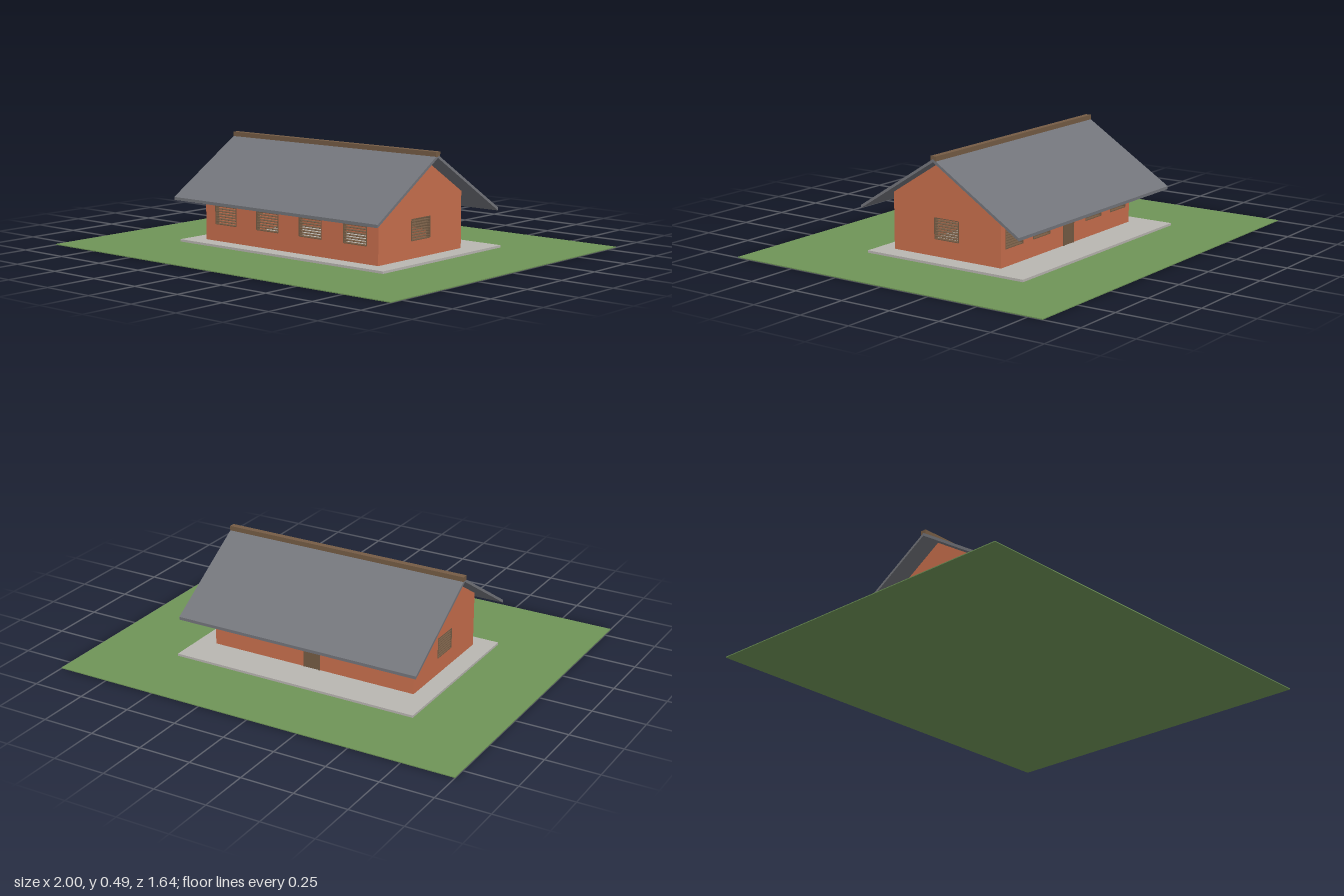
import * as THREE from 'three';

const mat = (name, color) => {
  const m = new THREE.MeshStandardMaterial({ color });
  m.name = name;
  return m;
};

export function createModel() {
  const grass = mat('grass green', 0x6f9457);
  const concrete = mat('concrete grey', 0xb9b6b1);
  const brick = mat('brick orange', 0xc96f4d);
  const slate = mat('slate grey', 0x73757b);
  const wood = mat('wood brown', 0x755c45);

  const house = new THREE.Group();
  house.name = 'house';

  const add = (parent, name, geometry, material) => {
    const mesh = new THREE.Mesh(geometry, material);
    mesh.name = name;
    parent.add(mesh);
    return mesh;
  };
  // box given by its limits on each axis
  const box = (parent, name, material, x0, x1, y0, y1, z0, z1) => {
    const mesh = add(parent, name, new THREE.BoxGeometry(x1 - x0, y1 - y0, z1 - z0), material);
    mesh.position.set((x0 + x1) / 2, (y0 + y1) / 2, (z0 + z1) / 2);
    return mesh;
  };
  const polygon = (points) => new THREE.Shape(points.map(([x, y]) => new THREE.Vector2(x, y)));
  const extrude = (shape, depth) => new THREE.ExtrudeGeometry(shape, { depth, bevelEnabled: false });
  const cutHole = (shape, x0, x1, y0, y1) =>
    shape.holes.push(new THREE.Path([[x0, y0], [x0, y1], [x1, y1], [x1, y0]].map(([x, y]) => new THREE.Vector2(x, y))));

  // main dimensions
  const floor = 0.015, halfX = 0.52, front = 0.315, back = -0.273, ridgeZ = 0.021;
  const wall = 0.02, ridgeY = 0.477, slope = 0.63, thick = 0.014;
  const sill = 0.095, head = 0.19, half = 0.066;
  const roofY = (z) => ridgeY - slope * Math.abs(z - ridgeZ);
  const eave = roofY(front) - thick;

  // plot and paved base
  box(house, 'lawn', grass, -1, 1, 0, 0.004, -0.82, 0.82);
  box(house, 'pavedBase', concrete, -0.612, 0.612, 0.004, floor, -0.453, 0.395);

  // louvred window around its own centre, facing z
  const addWindow = (name, x, z, turn) => {
    const g = new THREE.Group();
    g.name = name;
    const h = (head - sill) / 2, t = 0.004, d = 0.011;
    for (const s of [-1, 1]) {
      box(g, 'windowJamb', wood, s * half - t / 2, s * half + t / 2, -h, h, -d, d);
      box(g, 'windowRail', wood, -half, half, s * h - t / 2, s * h + t / 2, -d, d);
    }
    for (let i = 1; i < 8; i++) {
      const y = -h + (2 * h * i) / 8;
      box(g, 'louvre', wood, -half, half, y - 0.0015, y + 0.0015, -d, d);
    }
    g.position.set(x, (sill + head) / 2, z);
    g.rotation.y = turn;
    house.add(g);
  };

  // long walls with window openings
  const longWall = (name, z, centres) => {
    const shape = polygon([[-halfX, floor], [halfX, floor], [halfX, eave], [-halfX, eave]]);
    for (const x of centres) {
      cutHole(shape, x - half, x + half, sill, head);
      addWindow(name + 'Window', x, z + wall / 2, 0);
    }
    add(house, name, extrude(shape, wall), brick).position.z = z;
  };
  longWall('frontWall', front - wall, [-0.392, -0.131, 0.129, 0.388]);
  longWall('backWall', back, [-0.42, -0.21, 0.21, 0.42]);

  // gable walls, drawn with shape x = -z
  for (const s of [-1, 1]) {
    const shape = polygon([[-front, floor], [-back, floor], [-back, eave], [-ridgeZ, ridgeY - thick], [-front, eave]]);
    cutHole(shape, -0.021 - half, -0.021 + half, sill, head);
    const gable = add(house, 'gableWall', extrude(shape, wall), brick);
    gable.rotation.y = Math.PI / 2;
    gable.position.x = s > 0 ? halfX - wall : -halfX;
    addWindow('gableWindow', s * (halfX - wall / 2), 0.021, Math.PI / 2);
    // inner shutters beside the back windows
    for (const [a, b] of [[0.06, 0.144], [0.277, 0.353]]) {
      const z = back + wall;
      box(house, 'innerShutter', wood, Math.min(s * a, s * b), Math.max(s * a, s * b), sill - 0.01, head + 0.01, z, z + 0.006);
    }
  }

  // back door with its frame
  box(house, 'backDoor', wood, -0.036, 0.036, floor, 0.185, back - 0.002, back + 0.002);
  for (const s of [-1, 1]) {
    box(house, 'doorPost', wood, s * 0.038 - 0.004, s * 0.038 + 0.004, floor, head, back - 0.005, back + 0.004);
  }
  box(house, 'doorLintel', wood, -0.042, 0.042, 0.182, head, back - 0.005, back + 0.004);

  // two roof slopes; the back one reaches further down
  for (const [name, z] of [['frontRoof', 0.431], ['backRoof', -0.431]]) {
    const y = roofY(z);
    const slab = polygon([[-ridgeZ, ridgeY], [-z, y], [-z, y - thick], [-ridgeZ, ridgeY - thick]]);
    const roof = add(house, name, extrude(slab, 1.224), slate);
    roof.rotation.y = Math.PI / 2;
    roof.position.x = -0.612;
  }
  box(house, 'ridgeCap', wood, -0.612, 0.612, 0.468, 0.49, 0.005, 0.034);

  return house;
}
